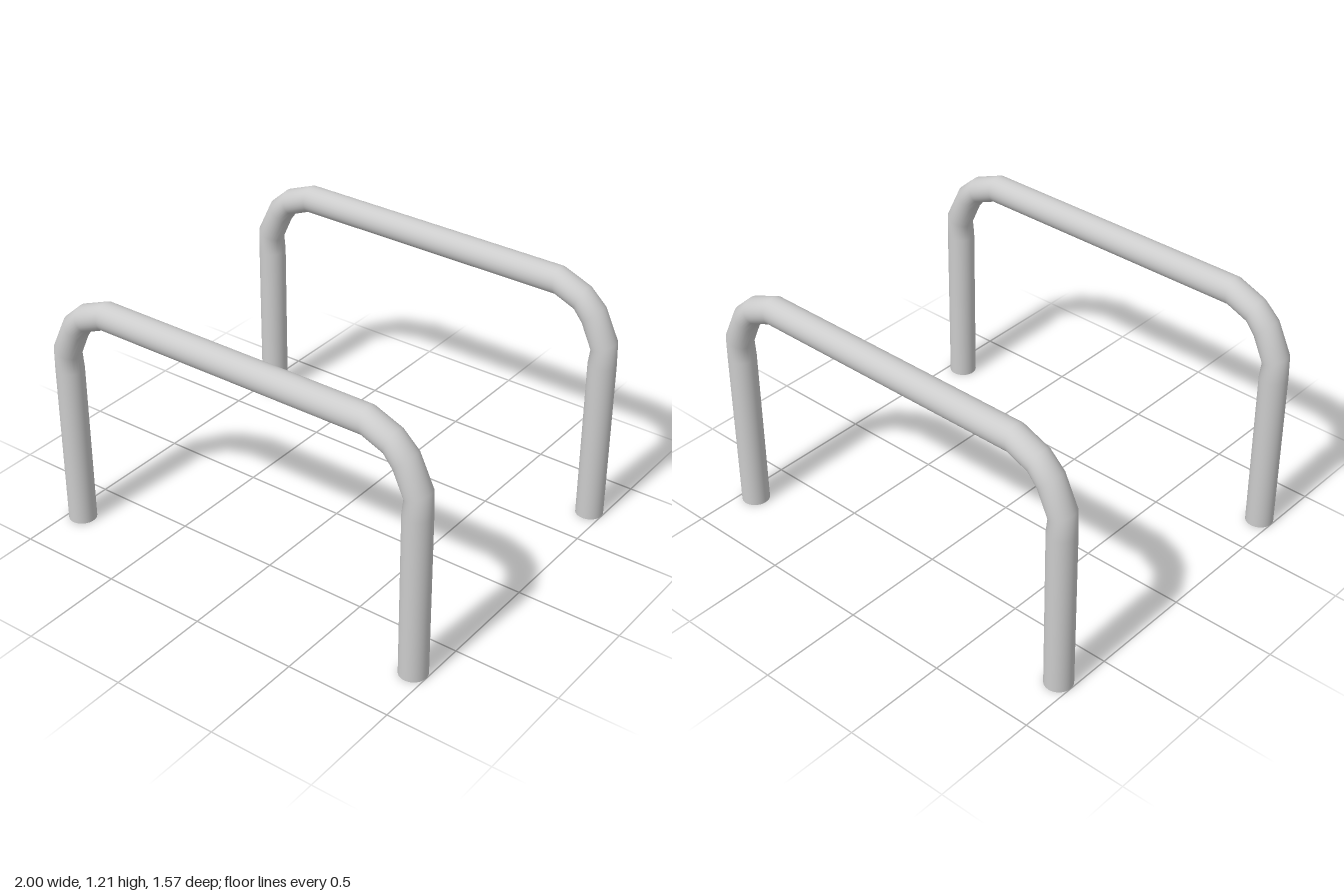
import * as THREE from 'three';

const RADIUS = 0.065;
const SIDES = 32;
const LEG_X = 0.935;
const RAIL_Z = 0.72;

// Sections of one half of the bent pipe: outer x, y and inner x, y
const half = [
  [1, 0, 0.87, 0],
  [1, 0.8, 0.87, 0.8],
  [0.995, 0.92, 0.88, 0.87],
  [0.92, 1.075, 0.828, 0.985],
  [0.833, 1.153, 0.79, 1.038],
  [0.69, 1.21, 0.69, 1.08],
];

// Pipe skinned through elliptical rings, mirrored to make the full arch
function pipeGeometry() {
  const mirrored = half.map(([ox, oy, ix, iy]) => [-ox, oy, -ix, iy]).reverse();
  const rings = [...half, ...mirrored];
  const positions = [];
  const indices = [];
  rings.forEach(([ox, oy, ix, iy], i) => {
    for (let j = 0; j < SIDES; j++) {
      const t = (j / SIDES) * Math.PI * 2;
      const c = Math.cos(t) / 2;
      positions.push(
        (ox + ix) / 2 + (ox - ix) * c,
        (oy + iy) / 2 + (oy - iy) * c,
        RADIUS * Math.sin(t)
      );
      if (i === rings.length - 1) continue;
      const k = (j + 1) % SIDES;
      const a = i * SIDES + j, b = i * SIDES + k;
      indices.push(a, a + SIDES, b, b, a + SIDES, b + SIDES);
    }
  });
  const geometry = new THREE.BufferGeometry();
  geometry.setAttribute('position', new THREE.Float32BufferAttribute(positions, 3));
  geometry.setIndex(indices);
  geometry.computeVertexNormals();
  return geometry;
}

export function createModel() {
  const model = new THREE.Group();
  model.name = 'pairOfHandles';
  const material = new THREE.MeshStandardMaterial({ color: 0xcccccc });
  const pipe = pipeGeometry();
  const cap = new THREE.CircleGeometry(RADIUS, SIDES).rotateX(Math.PI / 2);

  // Front and back arches
  for (const [name, z] of [['frontArch', RAIL_Z], ['backArch', -RAIL_Z]]) {
    const arch = new THREE.Group();
    arch.name = name;
    arch.position.z = z;
    const tube = new THREE.Mesh(pipe, material);
    tube.name = 'bentPipe';
    arch.add(tube);

    // Flat ends closing the legs
    for (const [side, x] of [['left', LEG_X], ['right', -LEG_X]]) {
      const foot = new THREE.Mesh(cap, material);
      foot.name = side + 'LegEnd';
      foot.position.x = x;
      arch.add(foot);
    }
    model.add(arch);
  }
  return model;
}
